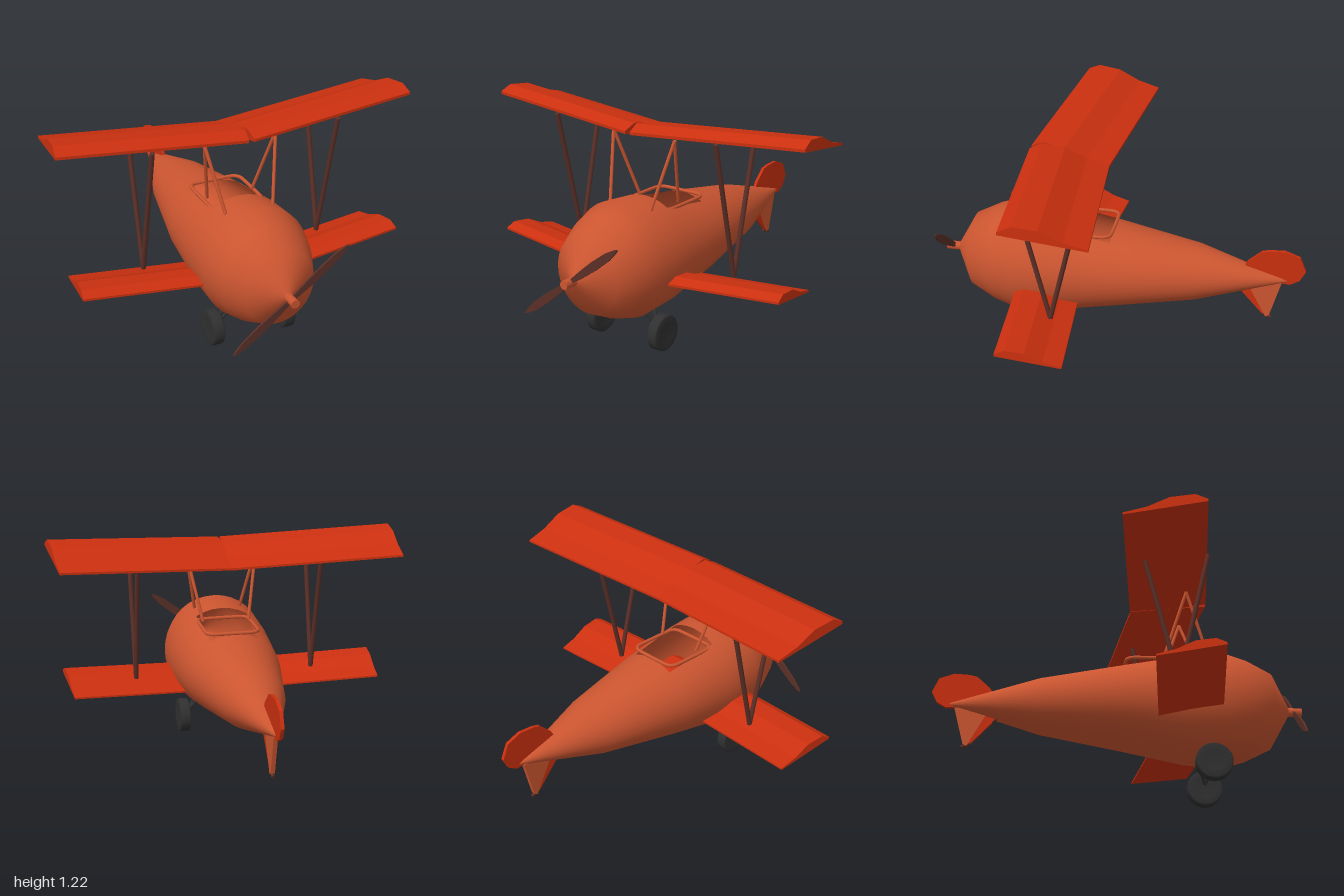
import * as THREE from 'three';

const paint = (name, color, side = THREE.FrontSide) => {
  const m = new THREE.MeshStandardMaterial({ color, side });
  m.name = name;
  return m;
};

export function createModel() {
  const hullOrange = paint('hull orange', 0xcb5530, THREE.DoubleSide);
  const red = paint('wing red', 0xcb300f);
  const brown = paint('dark wood', 0x5b2f27);
  const grey = paint('rubber grey', 0x303030);

  const plane = new THREE.Group();
  plane.name = 'biplane';
  const V = (x, y, z) => new THREE.Vector3(x, y, z);
  const add = (name, geo, mat) => {
    const mesh = new THREE.Mesh(geo, mat);
    mesh.name = name;
    plane.add(mesh);
    return mesh;
  };
  const rod = (name, a, b, r, mat) => {
    const mesh = add(name, new THREE.CylinderGeometry(r, r, a.distanceTo(b), 10), mat);
    mesh.position.copy(a).lerp(b, 0.5);
    mesh.quaternion.setFromUnitVectors(V(0, 1, 0), b.clone().sub(a).normalize());
  };
  const polygon = (pts) => new THREE.Shape(pts.map(([x, y]) => new THREE.Vector2(x, y)));

  // Fuselage: elliptical rings [z, centre y, half width, half height], open at the cockpit
  const rings = [
    [0.94, 0.48, 0, 0], [0.825, 0.48, 0.195, 0.21], [0.69, 0.48, 0.26, 0.278],
    [0.57, 0.48, 0.295, 0.315], [0.36, 0.477, 0.292, 0.297], [0.04, 0.48, 0.265, 0.231],
    [-0.42, 0.48, 0.17, 0.15], [-0.93, 0.48, 0, 0],
  ];
  const N = 36, pos = [], index = [];
  for (const [z, yc, rx, ry] of rings)
    for (let j = 0; j < N; j++) {
      const a = (j / N) * Math.PI * 2;
      pos.push(rx * Math.sin(a), yc + ry * Math.cos(a), z);
    }
  for (let i = 0; i < rings.length - 1; i++)
    for (let j = 0; j < N; j++) {
      if (i === 4 && (j < 3 || j >= N - 3)) continue;
      const a = i * N + j, b = i * N + (j + 1) % N;
      index.push(a, b, a + N, b, b + N, a + N);
    }
  const hull = new THREE.BufferGeometry();
  hull.setAttribute('position', new THREE.Float32BufferAttribute(pos, 3));
  hull.setIndex(index);
  hull.computeVertexNormals();
  add('fuselage', hull, hullOrange);

  // Cockpit rim
  const rim = new THREE.CatmullRomCurve3([
    V(0.145, 0.718, 0.08), V(0.11, 0.718, 0.04), V(-0.11, 0.718, 0.04), V(-0.145, 0.718, 0.08),
    V(-0.145, 0.718, 0.32), V(-0.11, 0.718, 0.355), V(0.11, 0.718, 0.355), V(0.145, 0.718, 0.32),
  ], true, 'catmullrom', 0.2);
  add('cockpitRim', new THREE.TubeGeometry(rim, 64, 0.01, 8, true), hullOrange);

  // Wings: one faceted section, swept back and raised toward the tip
  const section = [
    [0, 0], [0, 0.015], [0.065, 0.045], [0.19, 0.031],
    [0.305, -0.024], [0.425, -0.055], [0.425, -0.067],
  ];
  const wing = (name, side, scale, length, x, y, z) => {
    const shape = polygon(section.map(([u, v]) => [u * scale, v * scale]));
    const geo = new THREE.ExtrudeGeometry(shape, { depth: length, bevelEnabled: false });
    geo.rotateY(Math.PI / 2);
    if (side < 0) geo.translate(-length, 0, 0);
    geo.rotateZ(side * 0.052).rotateY(side * 0.105);
    add(name, geo, red).position.set(side * x, y, z);
  };

  for (const s of [1, -1]) {
    const label = s > 0 ? 'left' : 'right';
    wing(label + 'UpperWing', s, 1, 0.965, 0.016, 1.128, 0.495);
    wing(label + 'LowerWing', s, 0.8, 0.705, 0.2, 0.389, 0.545);

    // Outer wing struts in a V
    rod(label + 'FrontWingStrut', V(s * 0.51, 1.15, 0.45), V(s * 0.508, 0.42, 0.28), 0.013, brown);
    rod(label + 'RearWingStrut', V(s * 0.51, 1.10, 0.115), V(s * 0.508, 0.42, 0.28), 0.013, brown);

    // Centre struts above the fuselage
    const apex = V(s * 0.198, 1.098, 0.365);
    rod(label + 'FrontCentreStrut', V(s * 0.13, 0.735, 0.485), apex, 0.009, hullOrange);
    rod(label + 'RearCentreStrut', V(s * 0.13, 0.735, 0.245), apex, 0.009, hullOrange);

    // Wheel with raised hub, and its legs
    const profile = [[0, -0.027], [0.045, -0.027], [0.055, -0.031], [0.09, -0.031], [0.097, -0.024],
      [0.097, 0.024], [0.09, 0.031], [0.055, 0.031], [0.045, 0.027], [0, 0.027]]
      .map(([r, h]) => new THREE.Vector2(r, h));
    const tyre = new THREE.LatheGeometry(profile, 32).rotateZ(Math.PI / 2);
    add(label + 'Wheel', tyre, grey).position.set(s * 0.206, 0.101, 0.485);
    for (const z of [0.53, 0.44])
      rod(label + 'WheelLeg', V(s * 0.18, 0.12, 0.485), V(s * 0.11, 0.225, z), 0.009, grey);
  }

  // Propeller: two leaf blades on a hub
  const leaf = polygon([[0, -0.01], [0.1, -0.018], [0.2, -0.023], [0.31, -0.02], [0.37, -0.009],
    [0.39, 0], [0.37, 0.009], [0.31, 0.02], [0.2, 0.023], [0.1, 0.018], [0, 0.01]]);
  for (const turn of [0, Math.PI]) {
    const blade = add('propellerBlade',
      new THREE.ExtrudeGeometry(leaf, { depth: 0.01, bevelEnabled: false }), brown);
    blade.position.set(0, 0.48, 0.951);
    blade.rotation.z = 0.66 + turn;
  }
  rod('propellerHub', V(0, 0.48, 0.92), V(0, 0.48, 1), 0.024, hullOrange);

  // Tail: upright plates drawn as [distance behind centre, height]
  const plate = (name, pts, thick, mat) => {
    const geo = new THREE.ExtrudeGeometry(polygon(pts), { depth: thick, bevelEnabled: false });
    add(name, geo.translate(0, 0, -thick / 2).rotateY(Math.PI / 2), mat);
  };
  plate('rudder', [[0.66, 0.53], [0.69, 0.58], [0.76, 0.645], [0.8, 0.655], [0.885, 0.66], [0.965, 0.63],
    [1, 0.55], [0.97, 0.49], [0.92, 0.46], [0.8, 0.47]], 0.018, red);
  plate('tailFinEdge', [[0.65, 0.43], [0.66, 0.39], [0.785, 0.25], [0.81, 0.24], [0.74, 0.45]], 0.014, red);
  plate('tailFin', [[0.69, 0.45], [0.715, 0.4], [0.8, 0.24], [0.82, 0.25], [0.875, 0.46]], 0.022, hullOrange);
  rod('tailSkid', V(0, 0.255, -0.78), V(0, 0.235, -0.83), 0.009, brown);
  rod('tailSkidMount', V(0, 0.4, -0.65), V(0, 0.38, -0.67), 0.008, brown);

  return plane;
}
